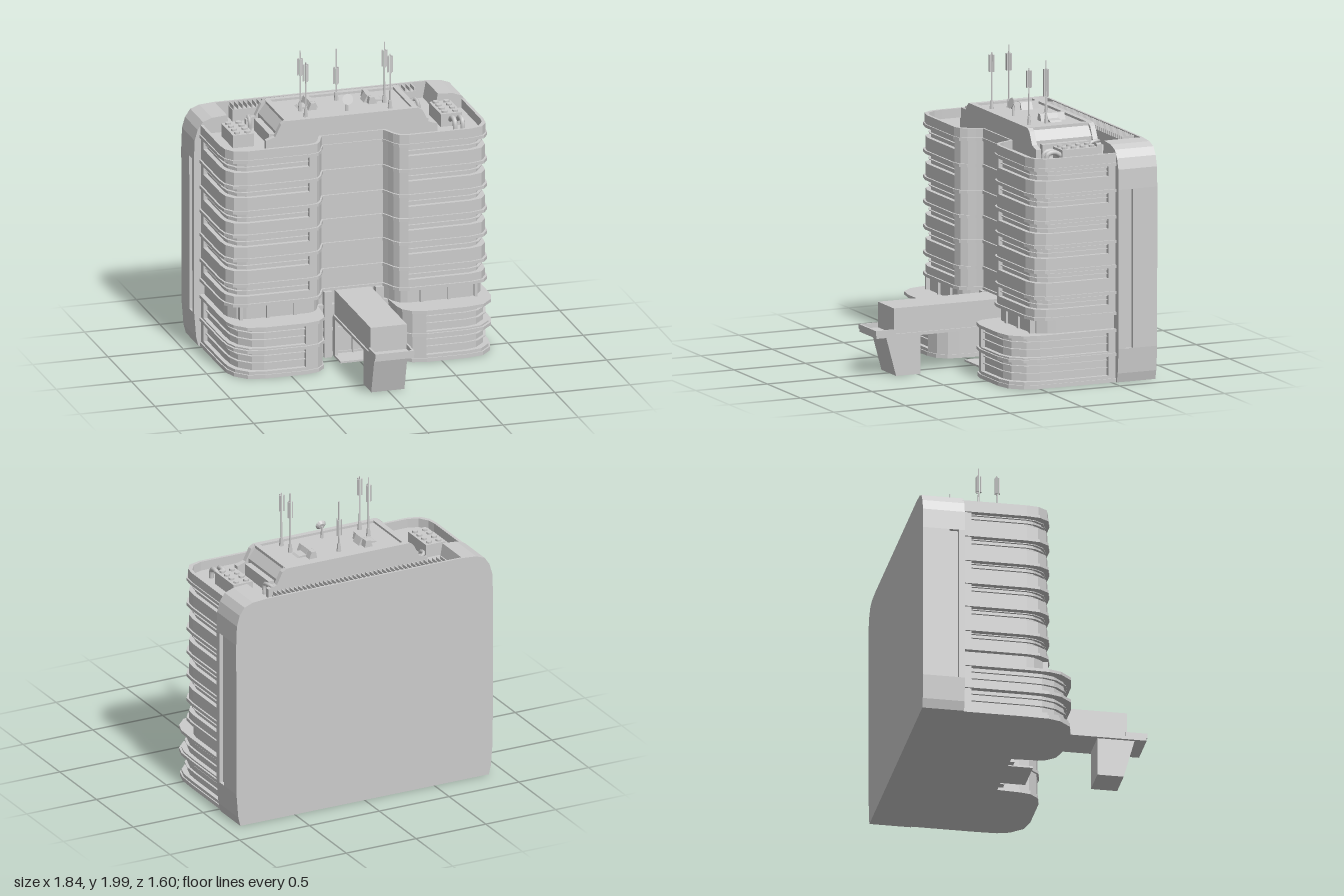
import * as THREE from 'three';

const mat = new THREE.MeshStandardMaterial({ color: 0xcccccc, flatShading: true });
const smooth = new THREE.MeshStandardMaterial({ color: 0xcccccc });

// half floor plans [x, z], from the centre line round to the back
const TOWER = [[0, -0.1], [0.2, -0.1], [0.22, -0.06], [0.24, -0.01], [0.27, 0.03], [0.33, 0.045], [0.74, 0.045],
  [0.83, 0.02], [0.87, -0.04], [0.88, -0.12], [0.88, -0.48], [0.88, -0.54]];
const PODIUM = [[0, -0.1], [0.235, -0.1], [0.245, 0.05], [0.26, 0.12], [0.31, 0.175], [0.4, 0.198], [0.67, 0.198],
  [0.78, 0.175], [0.85, 0.1], [0.875, 0.02], [0.88, -0.12], [0.88, -0.48], [0.88, -0.54]];

function inset([x, z], d) {
  const sx = x === 0 ? 0 : x < 0.32 ? 0.6 : x > 0.76 ? -1 : 0;
  return [x + sx * d, z > -0.54 && x < 0.88 ? z - d : z];
}
// plan shrunk by d; the window run (point 5 to the one before last) goes in by w more
function halfPlan(plan, d, w = 0) {
  const out = [], last = plan.length - 2;
  plan.forEach((p, i) => {
    const a = inset(p, d), b = inset(p, d + w);
    if (w && i === 5) out.push(a, [a[0], b[1]]);
    else if (w && i === last) out.push([b[0], a[1]], a);
    else out.push(w && i > 5 && i < last ? b : a);
  });
  return out;
}
const mirrored = (h) => [...h.slice(1).reverse().map(([x, z]) => [-x, z]), ...h];

function createModel() {
  const model = new THREE.Group();
  const add = (name, geo, x = 0, y = 0, z = 0, parent = model, m = mat) => {
    const mesh = new THREE.Mesh(geo, m);
    mesh.name = name;
    mesh.position.set(x, y, z);
    parent.add(mesh);
    return mesh;
  };
  // box given by its extents
  const box = (name, x0, x1, y0, y1, z0, z1, parent = model) =>
    add(name, new THREE.BoxGeometry(x1 - x0, y1 - y0, z1 - z0), (x0 + x1) / 2, (y0 + y1) / 2, (z0 + z1) / 2, parent);
  // floor outline raised from y0 to y1
  const layer = (name, pts, y0, y1) => {
    const shape = new THREE.Shape(pts.map(([x, z]) => new THREE.Vector2(x, -z)));
    const geo = new THREE.ExtrudeGeometry(shape, { depth: y1 - y0, bevelEnabled: false }).rotateX(-Math.PI / 2);
    return add(name, geo, 0, y0, 0);
  };
  // front outline run from z0 to z1
  const upright = (name, pts, z0, z1, parent = model) => {
    const shape = new THREE.Shape(pts.map(([x, y]) => new THREE.Vector2(x, y)));
    return add(name, new THREE.ExtrudeGeometry(shape, { depth: z1 - z0, bevelEnabled: false }), 0, 0, z0, parent);
  };
  // storey: plain wall, sill, recessed window strip with slats, ledge on top
  const storey = (name, plan, y0, y1, win) => {
    const yw = y1 - win;
    layer(name + 'Wall', mirrored(halfPlan(plan, 0.008)), y0, yw);
    layer(name + 'Window', mirrored(halfPlan(plan, 0.008, 0.028)), yw, y1);
    for (const f of [0.35, 0.7])
      layer(name + 'Slat', mirrored(halfPlan(plan, 0.008, 0.014)), yw + win * f, yw + win * f + 0.005);
    layer(name + 'Ledge', mirrored(halfPlan(plan, -0.004)), y1 - 0.01, y1 + 0.01);
  };

  // podium and setback floor
  layer('podiumBase', mirrored(halfPlan(PODIUM, 0)), 0, 0.025);
  storey('podiumLower', PODIUM, 0.025, 0.18, 0.135);
  storey('podiumUpper', PODIUM, 0.18, 0.335, 0.135);
  layer('setbackFloor', mirrored(halfPlan(TOWER, 0.03)), 0.34, 0.44);
  for (const s of [-1, 1]) for (const x of [0.42, 0.6, 0.78])
    box('setbackMullion', s * x - 0.01, s * x + 0.01, 0.34, 0.44, -0.03, 0.03);

  // tower storeys
  layer('towerBaseLedge', mirrored(halfPlan(TOWER, -0.004)), 0.435, 0.455);
  const levels = [0.455, 0.58, 0.75, 0.91, 1.07, 1.24, 1.41];
  for (let i = 1; i < levels.length; i++) storey('storey' + i, TOWER, levels[i - 1], levels[i], 0.075);

  // parapet round the roof
  const outer = mirrored(halfPlan(TOWER, 0.004));
  const inner = mirrored(halfPlan(TOWER, 0.024).map(([x, z]) => [Math.min(x, 0.86), z]));
  layer('parapet', [...outer, ...inner.reverse()], 1.41, 1.48);

  // rear slab: rounded panel, side cheeks with a tall groove, sunken roof between
  const edge = [[0.89, 0], [0.905, 0.06], [0.918, 0.22], [0.92, 1.25], [0.915, 1.38], [0.895, 1.45], [0.86, 1.5],
    [0.8, 1.522], [0.7, 1.53]];
  const flip = (pts) => pts.map(([x, y]) => [-x, y]).reverse();
  const notch = [[0.68, 1.42]];
  const grooved = [...edge.slice(0, 3), [0.895, 0.22], [0.895, 1.25], ...edge.slice(3)];
  upright('rearPanel', [...edge, ...flip(edge)], -0.8, -0.785);
  for (const [e, z0, z1] of [[edge, -0.785, -0.63], [grooved, -0.63, -0.57], [edge, -0.57, -0.53]]) {
    const half = [...e, ...notch];
    upright('rearSlab', [...half, ...flip(half)], z0, z1);
  }

  // louvre strip along the back of the roof
  box('louvreBed', -0.61, 0.61, 1.42, 1.5, -0.785, -0.7);
  for (let i = 0; i < 41; i++) box('louvreFin', -0.604 + i * 0.03, -0.596 + i * 0.03, 1.5, 1.525, -0.785, -0.7);

  // central bay floor lines and entrance
  for (const s of [-1, 1]) {
    box('entrancePillar', s * 0.17 - 0.025, s * 0.17 + 0.025, 0, 0.44, -0.12, -0.07);
    box('doorJamb', s * 0.12 - 0.01, s * 0.12 + 0.01, 0, 0.26, -0.11, -0.06);
  }
  box('doorHead', -0.13, 0.13, 0.235, 0.26, -0.11, -0.06);
  box('doorDivider', -0.005, 0.005, 0, 0.24, -0.11, -0.085);
  box('entranceFloor', -0.13, 0.13, 0, 0.012, -0.12, 0.06);

  // entrance canopy with front tray and tapered pylon
  box('canopyBody', -0.12, 0.12, 0.27, 0.44, -0.1, 0.67);
  box('canopyPlate', -0.13, 0.13, 0.255, 0.275, -0.1, 0.795);
  box('trayFront', -0.13, 0.13, 0.275, 0.305, 0.785, 0.8);
  for (const s of [-1, 1]) box('traySide', s * 0.124 - 0.006, s * 0.124 + 0.006, 0.275, 0.305, 0.66, 0.79);
  const pylon = new THREE.BoxGeometry(0.22, 0.255, 0.24);
  const pp = pylon.attributes.position;
  for (let i = 0; i < pp.count; i++) if (pp.getY(i) < 0 && pp.getZ(i) > 0) pp.setZ(i, 0.05);
  add('pylon', pylon, 0, 0.1275, 0.6);

  // penthouse: sloped body between two arched end frames, rimmed top
  const body = [[0.49, 1.41], [0.49, 1.52], [0.44, 1.585]];
  const frame = [[0.57, 1.41], [0.57, 1.48], [0.51, 1.5], [0.47, 1.58], [0.44, 1.6]];
  upright('penthouseBody', [...body, ...flip(body)], -0.55, -0.13);
  for (const z of [-0.575, -0.15]) upright('penthouseFrame', [...frame, ...flip(frame)], z, z + 0.035);
  for (const s of [-1, 1]) {
    box('penthouseRim', s * 0.425 - 0.018, s * 0.425 + 0.018, 1.57, 1.6, -0.56, -0.12);
    box('penthouseStep', s * 0.5 - 0.03, s * 0.5 + 0.03, 1.41, 1.5, -0.5, -0.18);
    const arm = new THREE.CatmullRomCurve3([[0.5, 1.46, -0.56], [0.55, 1.5, -0.56], [0.56, 1.49, -0.5], [0.56, 1.42, -0.5]]
      .map(([x, y, z]) => new THREE.Vector3(s * x, y, z)));
    add('ventPipe', new THREE.TubeGeometry(arm, 10, 0.012, 6), 0, 0, 0, model, smooth);
  }

  // rooftop hoods and antennas
  const mast = (x, z, top, panelY, h) => {
    const g = new THREE.Group();
    g.name = 'antenna';
    model.add(g);
    add('mast', new THREE.CylinderGeometry(0.004, 0.006, top - 1.58, 6), x, (top + 1.58) / 2, z, g);
    add('mastFoot', new THREE.CylinderGeometry(0.01, 0.016, 0.06, 6), x, 1.61, z, g);
    for (let i = 0; i < 3; i++) {
      const a = i * Math.PI * 2 / 3;
      const p = add('panel', new THREE.BoxGeometry(0.016, h, 0.008), x + Math.sin(a) * 0.014, panelY, z + Math.cos(a) * 0.014, g);
      p.rotation.y = a;
    }
  };
  for (const s of [-1, 1]) {
    const hood = [[0.15, 1.58], [0.29, 1.58], [0.27, 1.595], [0.225, 1.6], [0.21, 1.632], [0.175, 1.632]];
    upright('roofHood', hood.map(([x, y]) => [s * x, y]), -0.43, -0.35);
    const ridge = [[0.17, 1.58], [0.23, 1.58], [0.21, 1.63], [0.18, 1.63]];
    upright('hoodRidge', ridge.map(([x, y]) => [s * x, y]), -0.48, -0.31);
    mast(s * 0.28, -0.2, 1.95, 1.88, 0.11);
    mast(s * 0.28, -0.32, 1.99, 1.88, 0.11);
  }
  mast(0, -0.45, 1.93, 1.75, 0.11);
  add('dishPost', new THREE.CylinderGeometry(0.006, 0.01, 0.08, 6), 0, 1.63, -0.22);
  const dish = add('dish', new THREE.CylinderGeometry(0.036, 0.02, 0.016, 12), 0, 1.67, -0.21);
  dish.rotation.x = Math.PI / 2 - 0.3;

  // cooling units with eight fans each
  for (const s of [-1, 1]) {
    const g = new THREE.Group();
    g.name = 'coolingUnit';
    g.position.x = s * 0.69;
    model.add(g);
    box('unitBody', -0.07, 0.07, 1.41, 1.505, -0.46, -0.21, g);
    for (const dx of [-0.035, 0.035]) for (let i = 0; i < 4; i++)
      add('fan', new THREE.CylinderGeometry(0.019, 0.019, 0.014, 10), dx, 1.511, -0.43 + i * 0.063, g);
  }
  // pair of bent pipes beside the left unit
  for (const x of [0.685, 0.735]) {
    const bend = new THREE.CatmullRomCurve3([[1.46, -0.22], [1.49, -0.17], [1.48, -0.12], [1.41, -0.11]]
      .map(([y, z]) => new THREE.Vector3(x, y, z)));
    add('coolingPipe', new THREE.TubeGeometry(bend, 10, 0.016, 8), 0, 0, 0, model, smooth);
  }
  return model;
}

export { createModel };
